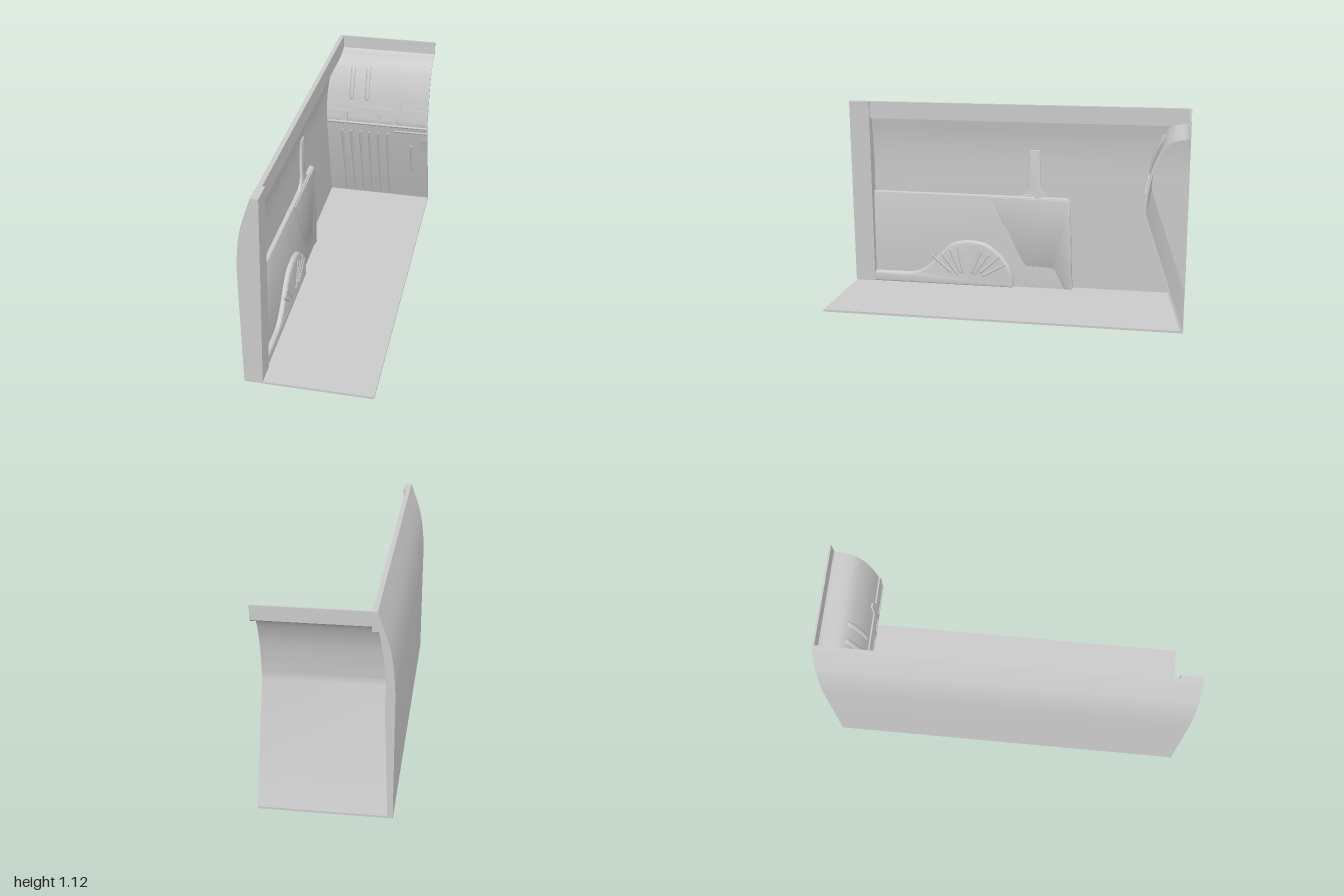
import * as THREE from 'three';
import { toCreasedNormals } from 'three/addons/utils/BufferGeometryUtils.js';

const mat = new THREE.MeshStandardMaterial({ color: 0xcccccc, side: THREE.DoubleSide });

// piecewise linear lookup through [key, value] pairs with rising keys
function lookup(table, k) {
  for (let i = 1; i < table.length; i++) {
    const [k0, v0] = table[i - 1], [k1, v1] = table[i];
    if (k <= k1) return v0 + (v1 - v0) * (k - k0) / (k1 - k0);
  }
  return table[table.length - 1][1];
}

// [y, x] skin lines of the side wall
const curve = (pts, n) => new THREE.SplineCurve(pts.map(p => new THREE.Vector2(...p))).getPoints(n).map(p => [p.x, p.y]);
const outer = [[0, -0.342], ...curve([[0.68, -0.343], [0.78, -0.338], [0.9, -0.323], [1, -0.297], [1.12, -0.255]], 20)];
const inner = [[0, -0.315], [0.6, -0.295], ...curve([[0.72, -0.296], [0.82, -0.292], [0.92, -0.281], [1.02, -0.262]], 14)];

// [y, z] front face of the end panel
const face = [[0.01, -0.985], [0.63, -0.775],
  ...curve([[0.66, -0.772], [0.75, -0.782], [0.86, -0.803], [0.95, -0.838], [1, -0.872], [1.025, -0.91]], 22),
  [1.033, -0.95], [1.036, -0.975], [1.045, -0.988], [1.12, -0.99]];
const panelZ = y => lookup(face, y);

export function createModel() {
  const root = new THREE.Group();
  const add = (name, geo, parent = root) => {
    const m = new THREE.Mesh(geo, mat);
    m.name = name;
    parent.add(m);
    return m;
  };
  const shapeOf = pts => new THREE.Shape(pts.map(p => new THREE.Vector2(...p)));

  // outline in x, y swept along z
  const alongZ = (pts, z0, z1) => toCreasedNormals(
    new THREE.ExtrudeGeometry(shapeOf(pts), { depth: z1 - z0, bevelEnabled: false }).translate(0, 0, z0), 0.5);

  // outline in z, y swept along x, with an optional rounded edge
  const alongX = (pts, x0, x1, bevel = 0) => toCreasedNormals(
    new THREE.ExtrudeGeometry(shapeOf(pts.map(([z, y]) => [-z, y])), {
      depth: x1 - x0 - bevel, bevelEnabled: bevel > 0, bevelThickness: bevel,
      bevelSize: bevel, bevelOffset: -bevel, bevelSegments: 4,
    }).rotateY(Math.PI / 2).translate(x0, 0, 0), 0.6);

  // Floor plate
  add('floor', new THREE.BoxGeometry(0.684, 0.012, 2).translate(0, 0.006, 0));

  // Curved side wall with its thick top rail
  const swap = ([y, x]) => [x, y];
  add('sideWall', alongZ([...outer.map(swap), [-0.23, 1.12], [-0.23, 1.02], ...inner.map(swap).reverse()], -1, 1));

  // Front post, leaning slightly inward
  add('frontPost', alongZ([...outer.map(swap), [-0.215, 1.12], [-0.243, 0.01], [-0.243, 0]], 0.88, 1));

  // Lower side lining and its raised rear plate
  const lining = -0.272;
  add('sideLining', alongX([[0.9, 0.005], [-0.335, 0.005], [-0.328, 0.1], [-0.316, 0.545], [-0.3, 0.567], [0.9, 0.572]],
    -0.32, lining, 0.008));
  add('rearLiningPlate', alongX([[0.16, 0.558], [-0.04, 0.165], [-0.06, 0.147], [-0.21, 0.142], [-0.23, 0.13], [-0.29, 0.012],
    [-0.33, 0.012], [-0.312, 0.545], [-0.3, 0.558]], -0.3, lining + 0.005, 0.002));

  // Pillar that flares into the lining top
  add('wallPillar', alongX([[0.0, 0.567], [-0.03, 0.575], [-0.055, 0.595], [-0.067, 0.63], [-0.07, 0.85],
    [-0.133, 0.85], [-0.135, 0.65], [-0.15, 0.61], [-0.18, 0.567]], -0.32, -0.281, 0.004));

  // Wheel arch
  const arch = new THREE.SplineCurve([[0.72, 0.074], [0.62, 0.082], [0.53, 0.14], [0.45, 0.225], [0.38, 0.275], [0.28, 0.29],
    [0.18, 0.27], [0.1, 0.21], [0.04, 0.13], [0.022, 0.06]].map(p => new THREE.Vector2(...p))).getPoints(40);
  add('wheelArch', alongX([[0.9, 0.005], [0.9, 0.074], ...arch.map(p => [p.x, p.y]), [0.022, 0.005]], -0.3, -0.247, 0.018));

  // Fan of ribs on the arch
  const fan = new THREE.Group();
  fan.name = 'archRibs';
  root.add(fan);
  for (const deg of [-60, -48, -36, -24, 12, 24, 38, 50]) {
    const a = deg * Math.PI / 180;
    const len = 0.15;
    const rib = add('archRib', new THREE.CapsuleGeometry(0.008, len, 4, 8), fan);
    rib.scale.x = 0.5;
    // tilt outward from the hub near the floor
    rib.rotation.x = a;
    const r = Math.abs(deg) > 45 ? 0.2 : 0.16;
    rib.position.set(-0.247, 0.015 + Math.cos(a) * r, 0.31 + Math.sin(a) * r);
  }

  // End panel: thin profile swept across, its left edge following the wall
  const t = 0.014;
  const back = face.map(([y, z]) => [Math.max(z - t, -1), y]).reverse();
  const panel = new THREE.ExtrudeGeometry(shapeOf([...face.map(([y, z]) => [-z, y]), ...back.map(([z, y]) => [-z, y])]),
    { depth: 0.64, bevelEnabled: false }).rotateY(Math.PI / 2).translate(-0.298, 0, 0);
  const pp = panel.attributes.position;
  for (let i = 0; i < pp.count; i++) {
    const y = pp.getY(i);
    if (pp.getX(i) < 0) pp.setX(i, y > 1.02 ? -0.235 : lookup(inner, y) - 0.004);
    else pp.setX(i, 0.342);
  }
  add('endPanel', toCreasedNormals(panel, 0.5));

  // Relief laid on the end panel: offsets each vertex by the panel face
  const lay = geo => {
    const p = geo.attributes.position;
    for (let i = 0; i < p.count; i++) p.setZ(i, p.getZ(i) + panelZ(p.getY(i)));
    geo.computeVertexNormals();
    return geo;
  };
  const relief = new THREE.Group();
  relief.name = 'endPanelRelief';
  root.add(relief);
  const upright = (name, x, y0, y1, r) => add(name, lay(
    new THREE.CapsuleGeometry(r, y1 - y0 - 2 * r, 4, 10, 12).scale(1, 1, 0.7).translate(x, (y0 + y1) / 2, 0)), relief);
  const across = (name, x0, x1, y, r) => add(name, lay(
    new THREE.CylinderGeometry(r, r, x1 - x0, 10).rotateZ(Math.PI / 2).scale(1, 1, 0.8).translate((x0 + x1) / 2, y, 0)), relief);
  const plate = (name, pts, d) => add(name, toCreasedNormals(lay(
    new THREE.ExtrudeGeometry(shapeOf(pts), { depth: d + 0.006, bevelEnabled: false }).translate(0, 0, -0.006)), 0.5), relief);

  for (let i = 0; i < 6; i++) upright('lowerBead', -0.201 + i * 0.0578, 0.035, 0.57, 0.0095);
  upright('shortBead', 0.24, 0.258, 0.48, 0.0095);
  for (const x of [-0.14, -0.043]) upright('upperBead', x, 0.787, 0.99, 0.014);
  across('kinkBead', -0.285, 0.342, 0.632, 0.009);
  across('sideBead', 0.142, 0.342, 0.59, 0.008);
  add('sideBeadEnd', lay(new THREE.SphereGeometry(0.008, 10, 8).translate(0.142, 0.59, 0)), relief);

  // Raised rail with three tabs, and the corner pocket
  plate('rail', [[-0.28, 0.704], [0.342, 0.704], [0.342, 0.75], [0.18, 0.75], [0.168, 0.798], [0.162, 0.803],
    [0.14, 0.803], [0.134, 0.798], [0.122, 0.75], [-0.143, 0.75], [-0.165, 0.722], [-0.28, 0.722]], 0.008);
  for (const x of [-0.183, 0.03, 0.135]) {
    plate('railTab', [[x - 0.019, 0.644], [x + 0.019, 0.644], [x + 0.019, 0.706], [x - 0.019, 0.706]], 0.008);
  }
  plate('pocket', [[0.342, 0.445], [0.342, 0.54], [0.308, 0.54], [0.298, 0.536], [0.294, 0.526],
    [0.294, 0.46], [0.298, 0.449], [0.308, 0.445]], 0.005);

  return root;
}
